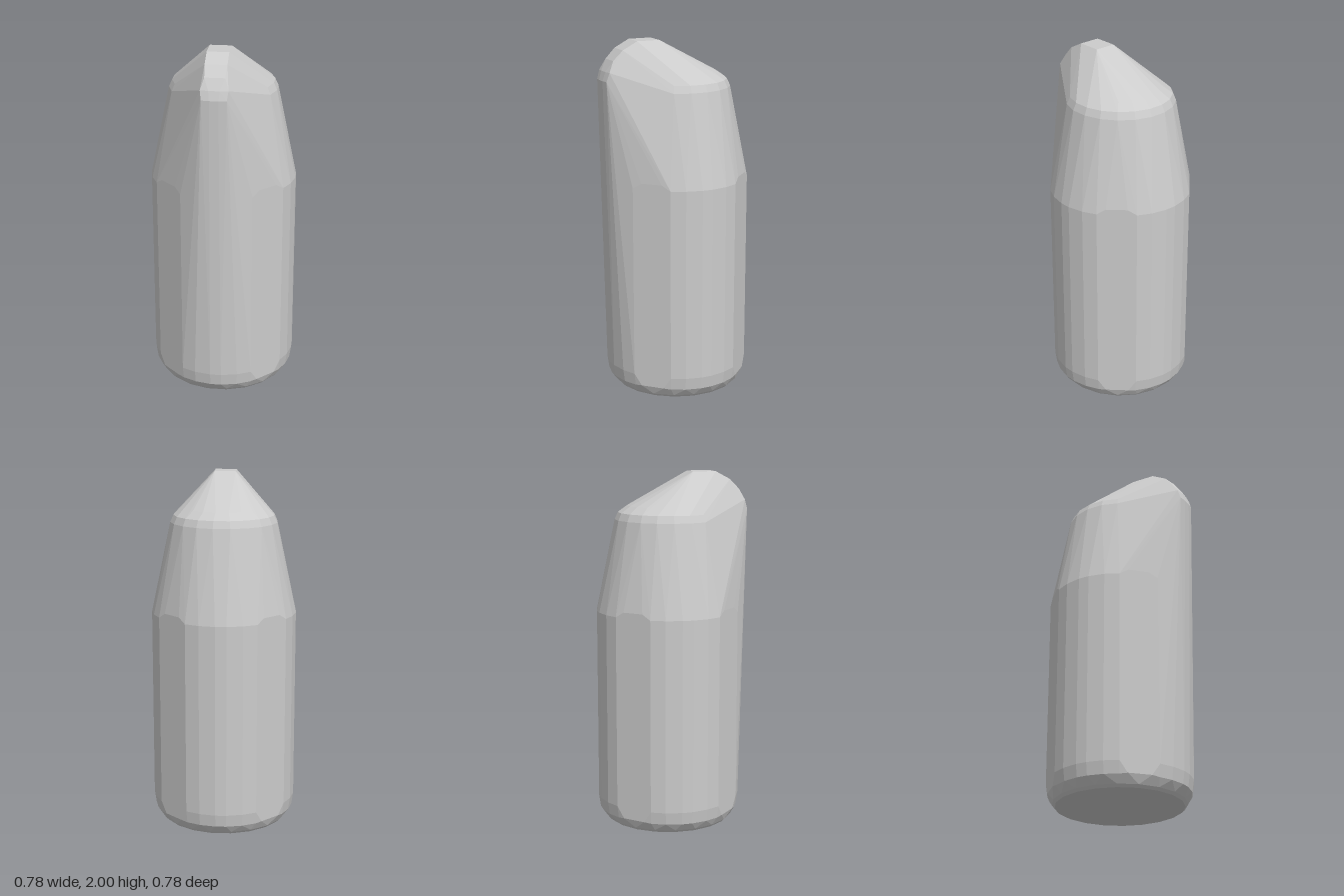
import * as THREE from 'three';
import { ConvexGeometry } from 'three/addons/geometries/ConvexGeometry.js';

// Outline of one quarter of the rounded-square body; mirrored to a full ring
const QUARTER = [[0.39, 0.11], [0.362, 0.19], [0.312, 0.268], [0.268, 0.312], [0.19, 0.362], [0.11, 0.39]];

function bodyRing(points, y, scale = 1) {
  for (const [x, z] of QUARTER)
    for (const sx of [-1, 1])
      for (const sz of [-1, 1]) points.push(new THREE.Vector3(sx * x * scale, y, sz * z * scale));
}

function roundRing(points, y, radius, sides = 20) {
  for (let i = 0; i < sides; i++) {
    const a = (i / sides) * Math.PI * 2;
    points.push(new THREE.Vector3(Math.cos(a) * radius, y, Math.sin(a) * radius));
  }
}

// A pair of points across the diagonal ridge: distance along it, half width, height
function ridgePair(points, along, half, y) {
  const s = Math.SQRT1_2;
  for (const h of [-half, half])
    points.push(new THREE.Vector3((along + h) * s, y, (along - h) * s));
}

export function createModel() {
  const group = new THREE.Group();
  group.name = 'bottle';
  const points = [];

  // Rounded base
  roundRing(points, 0, 0.355);
  roundRing(points, 0.015, 0.37);
  for (const [x, z] of QUARTER.slice(0, 1))
    for (const sx of [-1, 1])
      for (const sz of [-1, 1]) {
        points.push(new THREE.Vector3(sx * x, 0.065, sz * z * 0.6));
        points.push(new THREE.Vector3(sx * z * 0.6, 0.065, sz * x));
      }
  bodyRing(points, 0.06, 0.975);

  // Straight body
  bodyRing(points, 0.13);
  bodyRing(points, 1.22);
  for (const s of [-1, 1])
    for (const t of [-0.06, 0.06]) {
      points.push(new THREE.Vector3(s * 0.39, 1.25, t), new THREE.Vector3(t, 1.25, s * 0.39));
    }

  // Tapered shoulder and its rounded rim
  roundRing(points, 1.735, 0.303);
  roundRing(points, 1.775, 0.285);
  roundRing(points, 1.812, 0.232);

  // Diagonal spout ridge running to the front left corner
  ridgePair(points, 0.1, 0.065, 1.98);
  ridgePair(points, 0.128, 0.06, 2);
  ridgePair(points, 0.26, 0.06, 2);
  ridgePair(points, 0.345, 0.06, 1.955);
  ridgePair(points, 0.4, 0.055, 1.9);
  ridgePair(points, 0.437, 0.03, 1.84);
  ridgePair(points, 0.452, 0.025, 1.79);
  ridgePair(points, 0.446, 0.068, 1.79);
  ridgePair(points, 0.43, 0.075, 1.84);

  const mesh = new THREE.Mesh(
    new ConvexGeometry(points),
    new THREE.MeshStandardMaterial({ color: 0xcccccc, flatShading: true })
  );
  mesh.name = 'bottleShell';
  group.add(mesh);
  return group;
}
